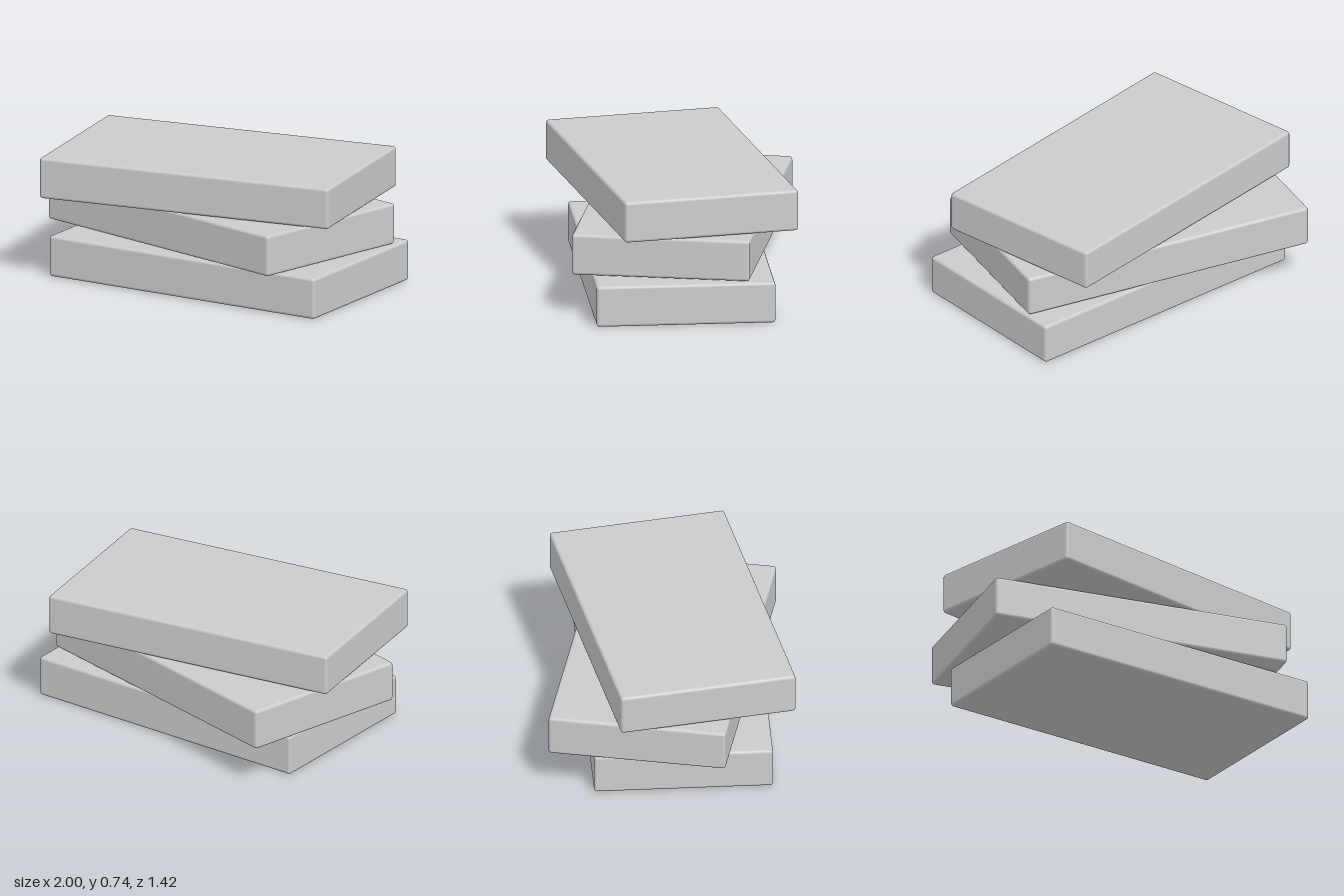
import * as THREE from 'three';
import { RoundedBoxGeometry } from 'three/addons/geometries/RoundedBoxGeometry.js';

export function createModel() {
  const group = new THREE.Group();
  group.name = 'slabStack';
  const material = new THREE.MeshStandardMaterial({ color: 0xcccccc });

  // One softly rounded slab, shared by all three layers
  const height = 0.242;
  const slab = new RoundedBoxGeometry(1.803, height, 1.035, 3, 0.018);

  // Each layer is shifted and twisted a little differently
  const layers = [
    { name: 'bottomSlab', x: 0.072, z: 0.017, bottom: 0, turn: 3 },
    { name: 'middleSlab', x: -0.027, z: -0.047, bottom: 0.25, turn: -10.3 },
    { name: 'topSlab', x: -0.01, z: 0.012, bottom: 0.498, turn: 12.5 },
  ];
  for (const { name, x, z, bottom, turn } of layers) {
    const mesh = new THREE.Mesh(slab, material);
    mesh.name = name;
    mesh.position.set(x, bottom + height / 2, z);
    mesh.rotation.y = THREE.MathUtils.degToRad(turn);
    group.add(mesh);
  }
  return group;
}
